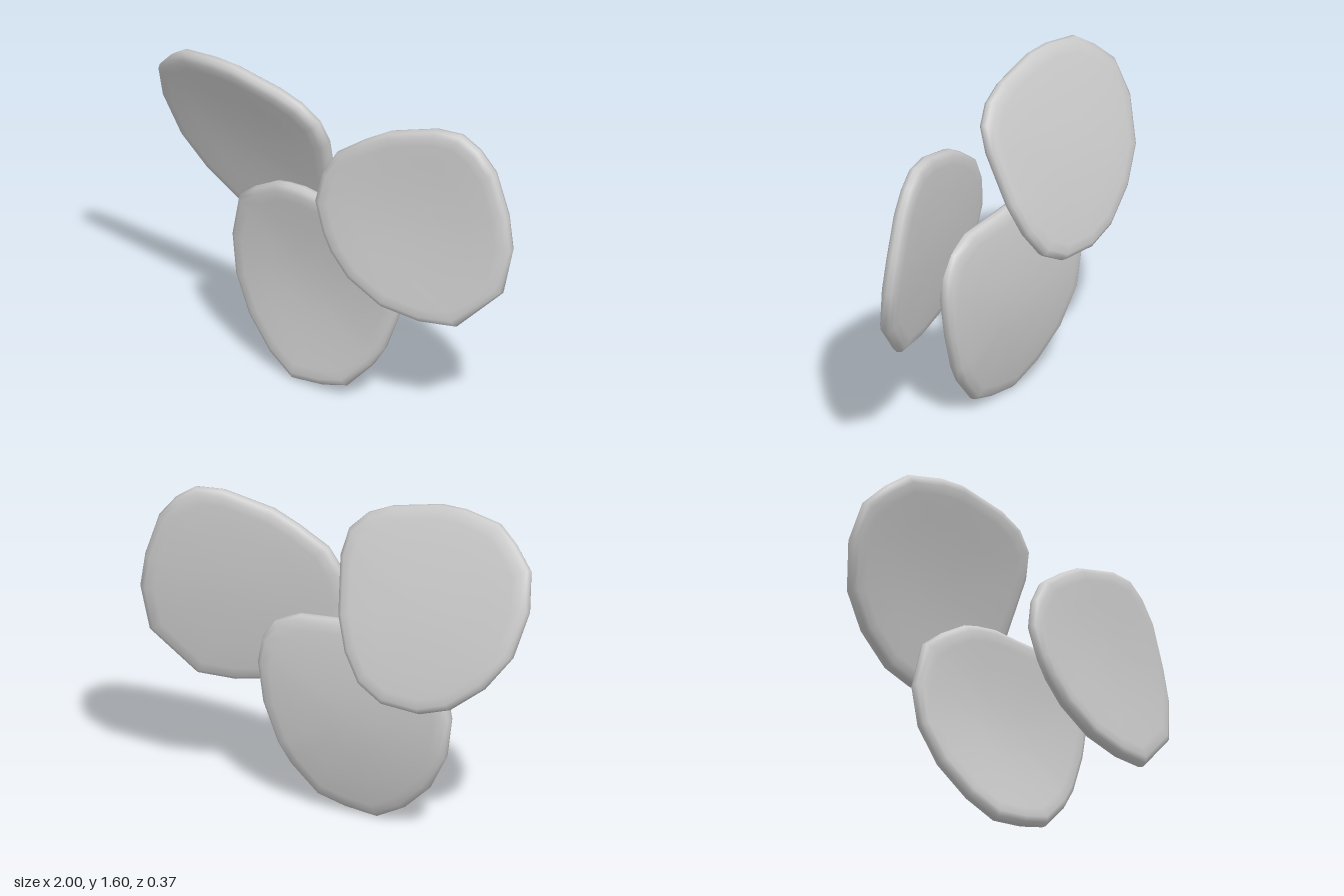
import * as THREE from 'three';

const material = new THREE.MeshStandardMaterial({ color: 0xcccccc });

// Cross-section from front centre, round the rim, to back centre: [radius fraction, height off mid-surface]
const half = [[0.3, 0.04], [0.6, 0.04], [0.85, 0.04], [0.94, 0.036], [0.985, 0.022]];
const section = [...half, [1, 0], ...half.map(([r, h]) => [r, -h]).reverse()];

// Thin curved petal: outline is counter-clockwise in x,y; bend gives z = c + a*u + b*v + d*v*v
function makePetal(name, outline, [c, a, b, d]) {
  const xs = outline.map(p => p[0]), ys = outline.map(p => p[1]);
  const x0 = Math.min(...xs), x1 = Math.max(...xs), y0 = Math.min(...ys), y1 = Math.max(...ys);
  const cx = (x0 + x1) / 2, cy = (y0 + y1) / 2, rx = (x1 - x0) / 2, ry = (y1 - y0) / 2;
  const pos = [], index = [], n = outline.length;

  // Places a point on the bent mid-surface and lifts it along the surface normal
  const add = (x, y, h) => {
    const u = (x - cx) / rx, v = (y - cy) / ry;
    const normal = new THREE.Vector3(-a / rx, -(b + 2 * d * v) / ry, 1).normalize();
    pos.push(x + normal.x * h, y + normal.y * h, c + a * u + b * v + d * v * v + normal.z * h);
  };

  add(cx, cy, 0.04);
  for (const [r, h] of section)
    for (const [x, y] of outline) add(cx + (x - cx) * r, cy + (y - cy) * r, h);
  add(cx, cy, -0.04);

  const last = 1 + section.length * n;
  const at = (ring, i) => 1 + ring * n + (i % n);
  for (let i = 0; i < n; i++) {
    index.push(0, at(0, i), at(0, i + 1));
    for (let k = 0; k < section.length - 1; k++) {
      index.push(at(k, i), at(k + 1, i), at(k + 1, i + 1));
      index.push(at(k, i), at(k + 1, i + 1), at(k, i + 1));
    }
    index.push(last, at(section.length - 1, i + 1), at(section.length - 1, i));
  }
  const geometry = new THREE.BufferGeometry();
  geometry.setAttribute('position', new THREE.Float32BufferAttribute(pos, 3));
  geometry.setIndex(index);
  geometry.computeVertexNormals();
  const mesh = new THREE.Mesh(geometry, material);
  mesh.name = name;
  return mesh;
}

export function createModel() {
  const group = new THREE.Group();
  group.name = 'petals';

  // Upper petal on the right, leaning forward at the top
  group.add(makePetal('upperRightPetal', [
    [0.02, 1.3], [0, 1.42], [-0.08, 1.5], [-0.2, 1.55], [-0.45, 1.6], [-0.58, 1.6],
    [-0.77, 1.57], [-0.87, 1.5], [-0.97, 1.4], [-1, 1.22], [-0.95, 1], [-0.83, 0.84],
    [-0.66, 0.71], [-0.5, 0.66], [-0.3, 0.67], [-0.17, 0.74], [-0.08, 0.87], [-0.02, 1.03],
  ], [-0.03, 0, 0.16, 0.03]));

  // Upper petal on the left, swept back at its outer side
  group.add(makePetal('upperLeftPetal', [
    [1, 1], [0.97, 1.17], [0.9, 1.38], [0.82, 1.48], [0.73, 1.54], [0.6, 1.54],
    [0.36, 1.47], [0.24, 1.4], [0.1, 1.3], [0.03, 1.18], [0, 1.03], [0.05, 0.88],
    [0.1, 0.79], [0.2, 0.68], [0.38, 0.58], [0.58, 0.55], [0.76, 0.565], [0.97, 0.78],
  ], [-0.02, -0.12, -0.045, 0.03]));

  // Lower petal, standing upright and curling forward at its foot
  group.add(makePetal('lowerPetal', [
    [0.43, 0.7], [0.41, 0.82], [0.35, 0.91], [0.22, 0.965], [-0.02, 0.985], [-0.15, 1],
    [-0.25, 0.99], [-0.32, 0.975], [-0.45, 0.9], [-0.55, 0.82], [-0.6, 0.6], [-0.57, 0.4],
    [-0.47, 0.22], [-0.32, 0.08], [-0.17, 0], [0, 0.02], [0.14, 0.06], [0.27, 0.2],
    [0.33, 0.3], [0.4, 0.5],
  ], [-0.025, 0, -0.022, 0.058]));

  return group;
}
